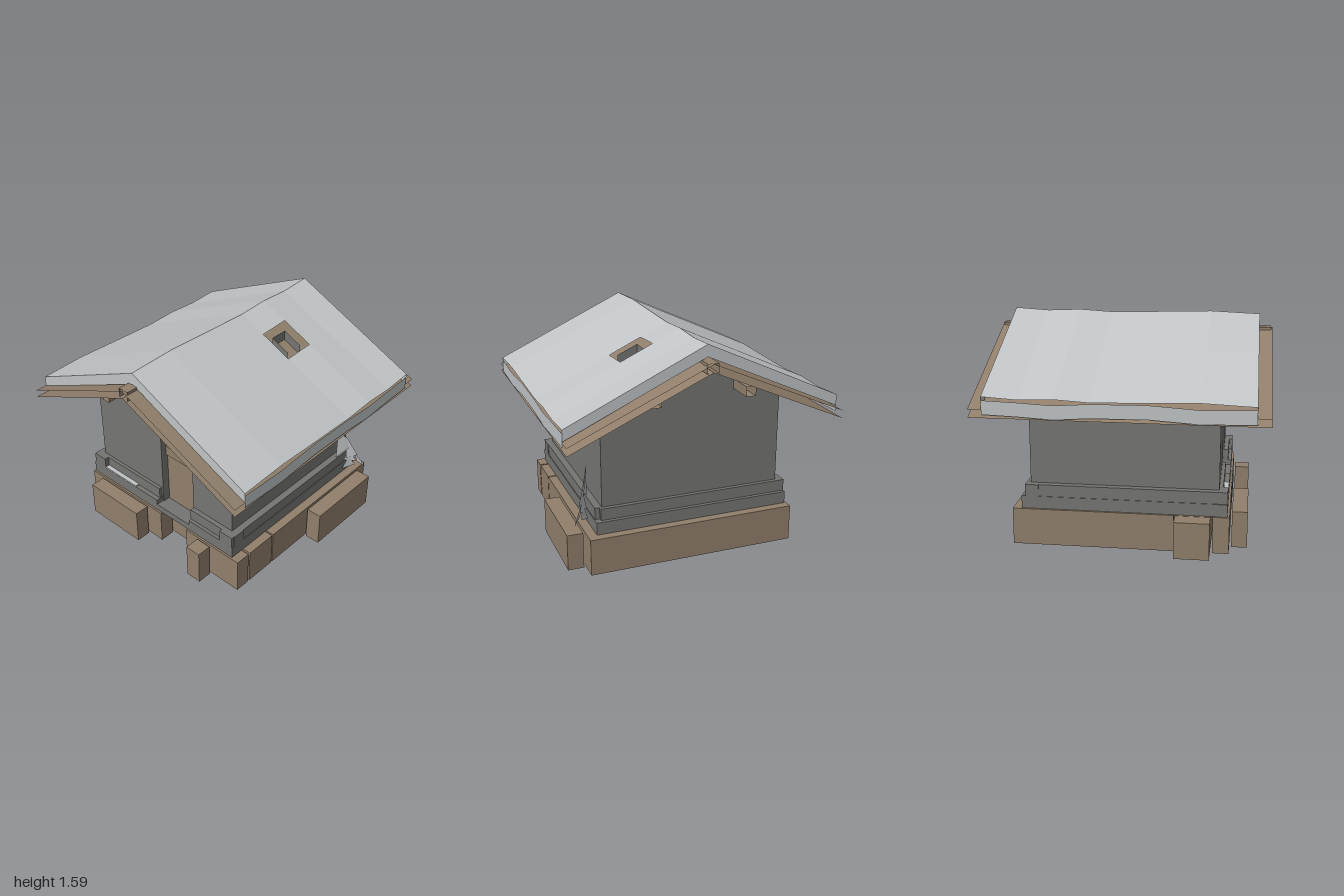
import * as THREE from 'three';

const mat = (name, color, side = THREE.FrontSide) => {
  const m = new THREE.MeshStandardMaterial({ color, side, flatShading: true });
  m.name = name;
  return m;
};

export function createModel() {
  const root = new THREE.Group();
  root.name = 'snowyCabin';
  const wood = mat('wood', 0x917f6b, THREE.DoubleSide);
  const stone = mat('stone', 0x757573, THREE.DoubleSide);
  const snow = mat('snow', 0xc0c4c6, THREE.DoubleSide);

  const add = (name, geo, m) => {
    const mesh = new THREE.Mesh(geo, m);
    mesh.name = name;
    root.add(mesh);
    return mesh;
  };
  // box given by its limits
  const box = (name, m, x0, x1, y0, y1, z0, z1) => {
    const g = new THREE.BoxGeometry(x1 - x0, y1 - y0, z1 - z0);
    g.translate((x0 + x1) / 2, (y0 + y1) / 2, (z0 + z1) / 2);
    return add(name, g, m);
  };
  // list of quads (a, b, c, d counter-clockwise from outside)
  const quads = (name, m, list) => {
    const p = [];
    for (const [a, b, c, d] of list) p.push(...a, ...b, ...c, ...(d ? [...a, ...c, ...d] : []));
    const g = new THREE.BufferGeometry();
    g.setAttribute('position', new THREE.Float32BufferAttribute(p, 3));
    g.computeVertexNormals();
    return add(name, g, m);
  };
  const poly = (pts) => new THREE.Shape(pts.map(([x, y]) => new THREE.Vector2(x, y)));
  const rect = (x0, x1, y0, y1) => poly([[x0, y0], [x1, y0], [x1, y1], [x0, y1]]);

  // timber base: main block, second row and the stepped blocks around it
  const T = 0.265;
  [
    [-0.735, 0.785, -0.785, 0.355],
    [-0.735, 0.785, 0.365, 0.61],
    [-0.735, 0.02, 0.625, 0.74],
    [0.285, 0.785, 0.625, 0.74],
    [-0.61, -0.11, 0.755, 0.865],
    [0.41, 0.53, 0.755, 0.865],
    [0.8, 0.915, -0.66, -0.03],
    [-0.865, -0.74, 0.365, 0.61],
  ].forEach(([x0, x1, z0, z1]) => box('baseBlock', wood, x0, x1, 0, T, z0, z1));

  // walls
  const W = 0.665, D = 0.06;
  const gable = () => poly([[-W, T], [W, T], [W, 1.122], [0, 1.42], [-W, 1.122]]);
  const front = gable();
  front.holes.push(rect(-0.02, 0.29, 0.315, 0.98));
  const ext = { depth: D, bevelEnabled: false };
  add('frontWall', new THREE.ExtrudeGeometry(front, ext), stone).position.z = W - D;
  add('backWall', new THREE.ExtrudeGeometry(gable(), ext), stone).position.z = -W;
  const side = rect(-W + D, W - D, T, 1.122);
  side.holes.push(rect(-0.37, -0.115, 0.69, 0.9));
  const sideGeo = new THREE.ExtrudeGeometry(side, ext).rotateY(Math.PI / 2);
  add('leftWall', sideGeo, stone).position.x = W - D;
  box('rightWall', stone, -W, -W + D, T, 1.122, -W + D, W - D);
  box('windowPane', stone, 0.6, 0.62, 0.68, 0.91, 0.1, 0.38);

  // door, its cross plank, lintel and step
  box('door', wood, -0.015, 0.285, 0.315, 0.97, 0.58, 0.61);
  box('doorPlank', wood, -0.015, 0.285, 0.735, 0.81, 0.61, 0.625);
  box('lintel', wood, -0.075, 0.335, 1.03, 1.11, W, 0.685);
  box('doorStep', stone, -0.03, 0.3, T, 0.315, 0.6, 0.725);

  // stone courses along each wall
  const course = (place, y0, y1, cuts, inner, outer) => {
    for (let i = 0; i < cuts.length - 1; i++) place(cuts[i], cuts[i + 1], y0, y1, inner, outer);
  };
  const alongX = (s) => (a, b, y0, y1, i, o) =>
    box('footStone', stone, a, b, y0, y1, Math.min(s * i, s * o), Math.max(s * i, s * o));
  const alongZ = (s) => (a, b, y0, y1, i, o) =>
    box('footStone', stone, Math.min(s * i, s * o), Math.max(s * i, s * o), y0, y1, a, b);
  const Y1 = 0.355, Y2 = 0.44;
  course(alongX(1), T, Y1, [-0.725, -0.48, -0.03], 0.66, 0.725);
  course(alongX(1), T, Y1, [0.3, 0.53, 0.72], 0.66, 0.725);
  course(alongX(1), Y1, Y2, [-0.665, -0.035], 0.6, 0.69);
  course(alongX(1), Y1, Y2, [0.295, 0.72], 0.6, 0.7);
  course(alongX(-1), T, Y1, [-0.72, -0.35, 0.05, 0.4, 0.72], 0.66, 0.722);
  course(alongX(-1), Y1, Y2, [-0.72, -0.1, 0.3, 0.68], 0.6, 0.695);
  for (const s of [1, -1]) {
    course(alongZ(s), T, Y1, [-0.72, -0.4, -0.01, 0.48, 0.725], 0.66, 0.72);
    course(alongZ(s), Y1, Y2, [-0.665, -0.2, 0.25, 0.725], 0.6, 0.715);
  }
  box('snowPatch', snow, -0.62, -0.26, Y1, Y1 + 0.008, 0.685, 0.724);

  // roof boards: an upper and a lower sheet on each slope
  const E = 0.985;
  for (const s of [1, -1]) for (const [top, eave] of [[1.475, 1.04], [1.42, 0.985]]) {
    quads('roofBoards', wood, [[[0, top, s], [s * E, eave, s], [s * E, eave, -s], [0, top, -s]]]);
  }

  // beams with open ends
  const beam = (name, x0, x1, y0, y1, z0, z1) => {
    const c = [[x0, y0], [x1, y0], [x1, y1], [x0, y1]];
    quads(name, wood, c.map(([x, y], i) => {
      const [u, v] = c[(i + 1) % 4];
      return [[x, y, z1], [x, y, z0], [u, v, z0], [u, v, z1]];
    }));
  };
  beam('ridgeBeam', -0.04, 0.04, 1.41, 1.478, -0.995, 0.99);
  for (const x of [-0.34, 0.34]) for (const s of [1, -1]) {
    beam('purlin', x - 0.035, x + 0.035, 1.18, 1.25, s > 0 ? W : -0.87, s > 0 ? 0.87 : -W);
  }

  // snow sheet, wavy along the ridge, with an opening for the flue
  const zs = [0.905, 0.55, 0.2, -0.18, -0.42, -0.66, -0.905];
  const crest = [1.57, 1.585, 1.575, 1.566, 1.58, 1.57, 1.585];
  const hem = [1.0, 0.988, 1.01, 1.005, 0.988, 1.0, 1.008];
  const xs = [0, 0.2, 0.435, E];
  for (const s of [1, -1]) {
    const top = [], edge = [];
    const pt = (x, k, drop = 0) => [s * x, crest[k] - 0.462 * x - drop, zs[k]];
    const face = (a, b, c, d) => (s > 0 ? [a, b, c, d] : [d, c, b, a]);
    for (let k = 0; k < zs.length - 1; k++) {
      for (let i = 0; i < 3; i++) {
        if (s > 0 && k === 3 && i === 1) continue;
        top.push(face(pt(xs[i], k), pt(xs[i + 1], k), pt(xs[i + 1], k + 1), pt(xs[i], k + 1)));
      }
      const h = (j, up) => [s * E, hem[j] + up, zs[j]];
      edge.push(face(h(k, 0), h(k + 1, 0), h(k + 1, 0.097), h(k, 0.097)));
    }
    const n = zs.length - 1;
    edge.push(face(pt(0, 0, 0.085), pt(E, 0, 0.08), pt(E, 0), pt(0, 0)));
    edge.push(face(pt(0, n), pt(E, n), pt(E, n, 0.08), pt(0, n, 0.085)));
    quads('snowSheet', snow, top);
    quads('snowEdge', snow, edge);
  }

  // flue walls inside the opening
  const fx = [0.245, 0.39], fz = [-0.23, -0.37];
  const fp = (x, up, z) => [x, 1.36 - (x - 0.245) * 0.45 + up, z];
  const flue = fz.map((z) => [fp(fx[0], 0, z), fp(fx[1], 0, z), fp(fx[1], 0.08, z), fp(fx[0], 0.08, z)]);
  flue.push([fp(fx[0], 0, fz[0]), fp(fx[0], 0.08, fz[0]), fp(fx[0], 0.08, fz[1]), fp(fx[0], 0, fz[1])]);
  quads('flue', stone, flue);

  // small frosted tree of leaning shards beside the wall
  quads('frostShards', snow, [
    [[0.715, 0.685, -0.475], [0.715, 0.455, -0.475], [0.77, 0.53, -0.555], [0.745, 0.63, -0.545]],
    [[0.745, 0.63, -0.55], [0.76, 0.43, -0.55], [0.815, 0.45, -0.62]],
    [[0.765, 0.52, -0.57], [0.74, 0.4, -0.55], [0.81, 0.39, -0.62]],
    [[0.77, 0.44, -0.57], [0.73, 0.31, -0.55], [0.8, 0.35, -0.62]],
    [[0.79, 0.47, -0.61], [0.81, 0.38, -0.63], [0.865, 0.33, -0.675]],
  ]);

  return root;
}
